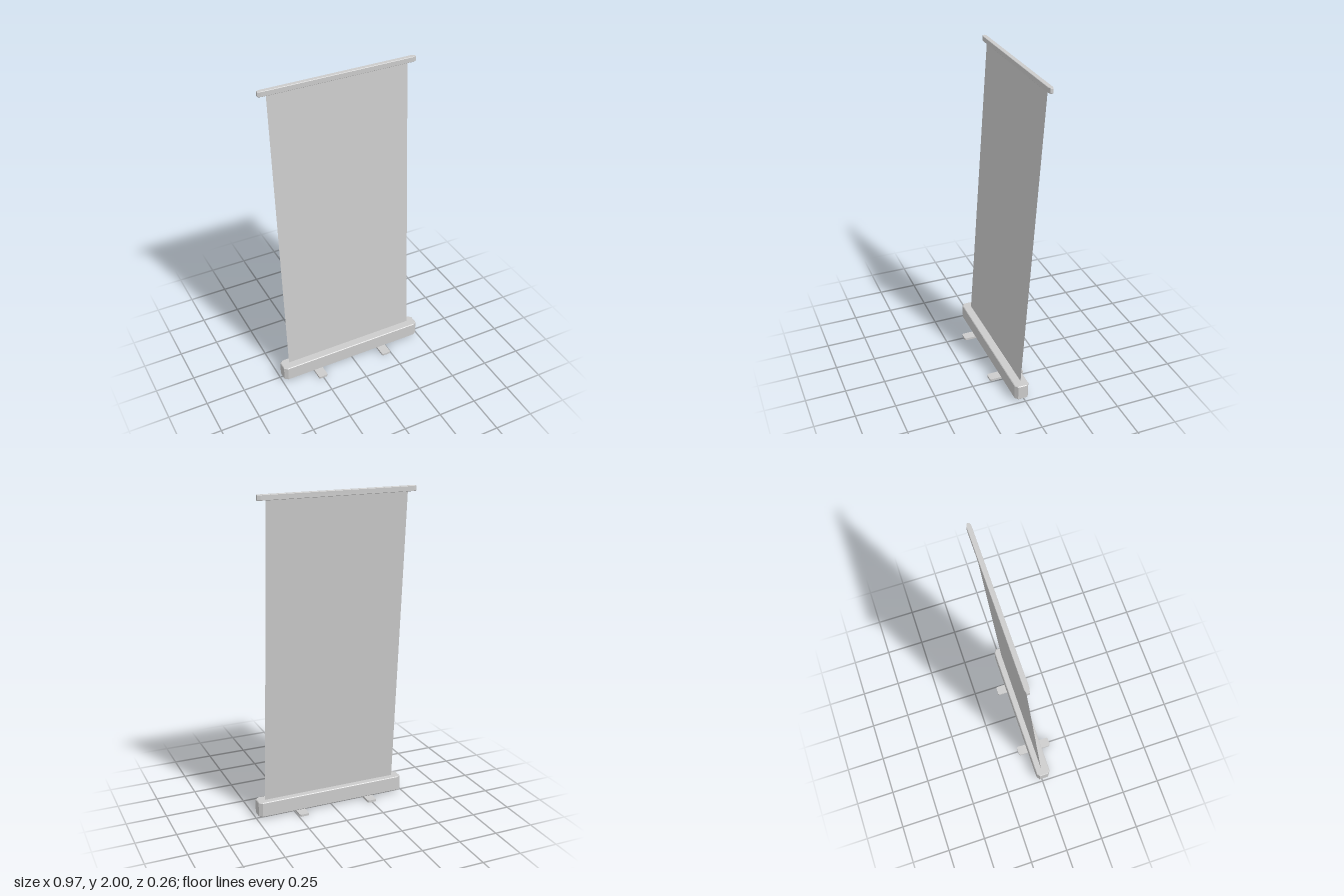
import * as THREE from 'three';

const grey = new THREE.MeshStandardMaterial({ color: 0xcccccc, flatShading: true });
const sheet = new THREE.MeshStandardMaterial({ color: 0xcccccc, side: THREE.DoubleSide });

// Upright slab with cut plan corners (cx along x, cz along z) and softened top and bottom edges
function slab(name, [x0, x1], [y0, y1], [z0, z1], cx, cz, bevel) {
  const w = (x1 - x0) / 2, d = (z1 - z0) / 2;
  const shape = new THREE.Shape([
    [w, -d + cz], [w, d - cz], [w - cx, d], [-w + cx, d],
    [-w, d - cz], [-w, -d + cz], [-w + cx, -d], [w - cx, -d],
  ].map(([x, y]) => new THREE.Vector2(x, y)));
  const geometry = new THREE.ExtrudeGeometry(shape, {
    depth: y1 - y0 - 2 * bevel, bevelEnabled: bevel > 0,
    bevelThickness: bevel, bevelSize: bevel, bevelOffset: -bevel, bevelSegments: 1,
  });
  geometry.rotateX(-Math.PI / 2);
  geometry.translate((x0 + x1) / 2, y0 + bevel, (z0 + z1) / 2);
  const mesh = new THREE.Mesh(geometry, grey);
  mesh.name = name;
  return mesh;
}

export function createModel() {
  const group = new THREE.Group();
  group.name = 'rollUpBanner';

  // Cassette at the bottom and clamp rail at the top
  group.add(slab('baseCassette', [-0.487, 0.487], [0.014, 0.11], [-0.032, 0.059], 0.022, 0.016, 0.004));
  group.add(slab('topRail', [-0.487, 0.487], [1.968, 2], [-0.133, -0.105], 0.02, 0.006, 0.002));

  // Flat feet crossing under the cassette
  for (const [name, x] of [['rightFoot', -0.25], ['leftFoot', 0.215]]) {
    group.add(slab(name, [x - 0.03, x + 0.03], [0, 0.014], [-0.095, 0.131], 0.007, 0.007, 0));
  }

  // Thin fabric leaning back from the cassette to the rail
  const low = new THREE.Vector3(0, 0.1, 0.008), high = new THREE.Vector3(0, 1.975, -0.119);
  const fabric = new THREE.Mesh(new THREE.PlaneGeometry(0.872, low.distanceTo(high)), sheet);
  fabric.name = 'bannerFabric';
  fabric.position.copy(low).add(high).multiplyScalar(0.5);
  fabric.rotation.x = Math.atan2(high.z - low.z, high.y - low.y);
  group.add(fabric);

  return group;
}
